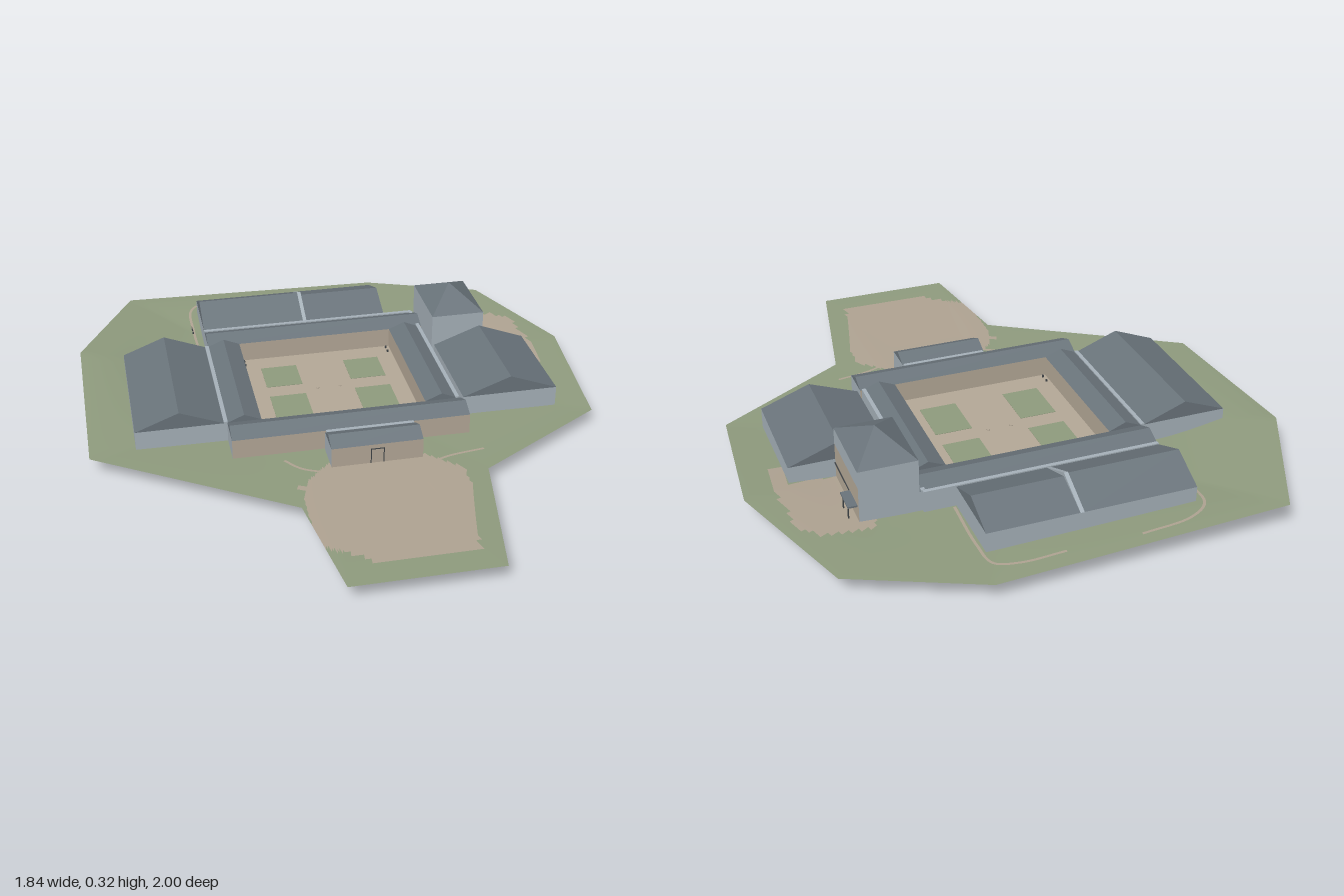
import * as THREE from 'three';

const mat = (name, color) => {
  const m = new THREE.MeshStandardMaterial({ color });
  m.name = name;
  return m;
};

// Ground outline as x, y, z corners, clockwise seen from above
const OUTLINE = [
  [-0.7, 0.09, -0.98], [0.31, 0.062, -1], [0.74, 0.07, -0.82], [0.92, 0.08, -0.34],
  [0.88, 0.054, 0.18], [0.4, 0.055, 0.47], [0.3, 0.062, 1], [-0.2, 0.062, 1],
  [-0.26, 0.058, 0.57], [-0.92, 0.063, 0.15], [-0.92, 0.11, -0.53],
];
const CX = -0.02, CZ = -0.16, BASE = 0.058;

// Height of the ground: level near the buildings, bending to the outline heights
function groundY(x, z) {
  const dx = x - CX, dz = z - CZ;
  for (let i = 0; i < OUTLINE.length; i++) {
    const a = OUTLINE[i], b = OUTLINE[(i + 1) % OUTLINE.length];
    const ex = b[0] - a[0], ez = b[2] - a[2], ax = a[0] - CX, az = a[2] - CZ;
    const det = dx * ez - dz * ex;
    const s = (ax * ez - az * ex) / det, u = (ax * dz - az * dx) / det;
    if (s > 0 && u >= -1e-6 && u <= 1 + 1e-6) {
      const edge = a[1] + (b[1] - a[1]) * u;
      return BASE + (edge - BASE) * THREE.MathUtils.smoothstep(1 / s, 0.55, 1);
    }
  }
  return BASE;
}

// Bare earth: the forecourt and the yard beside the tower
function isEarth(x, z) {
  const front = z > 0.3 && z < 0.9 && x > -0.245 && x > -0.22 + (z - 0.8) * 1.4 &&
    x < 0.32 - Math.max(0, z - 0.55) * 0.22 && x - z < -0.13 && x + z > 0.21;
  const side = x > 0.55 && x < 0.8 && z > -0.6 && z < -0.28 && x - z < 1.33;
  const link = x > 0.76 && x < 0.81 && z > -0.4 && z < -0.18;
  return front || side || link;
}

export function createModel() {
  const model = new THREE.Group();
  model.name = 'courtyardCompound';
  const roof = mat('slateRoof', 0x69737a);
  const wall = mat('paleWall', 0xa5b0b8);
  const tan = mat('sandStone', 0xb3a796);
  const grass = mat('grass', 0x8e9a7d);
  const dark = mat('darkTrim', 0x3d4246);
  const earth = mat('bareEarth', 0xaea291);
  grass.side = earth.side = THREE.DoubleSide;

  const add = (name, geo, material, parent = model) => {
    const m = new THREE.Mesh(geo, material);
    m.name = name;
    parent.add(m);
    return m;
  };
  const box = (name, x0, x1, y0, y1, z0, z1, material, parent) => {
    const g = new THREE.BoxGeometry(x1 - x0, y1 - y0, z1 - z0);
    g.translate((x0 + x1) / 2, (y0 + y1) / 2, (z0 + z1) / 2);
    return add(name, g, material, parent);
  };
  // Triangular prism with its ridge along x or z
  const prism = (x0, x1, z0, z1, eave, ridge, axis) => {
    const alongX = axis === 'x';
    const half = (alongX ? z1 - z0 : x1 - x0) / 2, len = alongX ? x1 - x0 : z1 - z0;
    const s = new THREE.Shape([new THREE.Vector2(-half, 0), new THREE.Vector2(half, 0),
      new THREE.Vector2(0, ridge - eave)]);
    const g = new THREE.ExtrudeGeometry(s, { depth: len, bevelEnabled: false });
    g.translate(0, 0, -len / 2);
    if (alongX) g.rotateY(Math.PI / 2);
    return g.translate((x0 + x1) / 2, eave, (z0 + z1) / 2);
  };
  // Gabled building; tanSides lists stone faces in the order +x -x +y -y +z -z
  const building = (name, x0, x1, z0, z1, ridge, axis, tanSides = []) => {
    const g = new THREE.Group();
    g.name = name;
    model.add(g);
    const mats = [0, 1, 2, 3, 4, 5].map(i => (tanSides.includes(i) ? tan : wall));
    box(name + 'Walls', x0, x1, 0.05, 0.13, z0, z1, mats, g);
    add(name + 'Roof', prism(x0, x1, z0, z1, 0.13, ridge, axis), roof, g);
  };

  // Ground in rings around the courtyard block
  const pos = [], green = [], bare = [], RINGS = 34, PER = 22;
  const n = OUTLINE.length * PER;
  for (let i = 0; i < n; i++) {
    const a = OUTLINE[Math.floor(i / PER)], b = OUTLINE[(Math.floor(i / PER) + 1) % OUTLINE.length];
    const f = (i % PER) / PER;
    const dx = a[0] + (b[0] - a[0]) * f - CX, dz = a[2] + (b[2] - a[2]) * f - CZ;
    const k = 1 / Math.max(Math.abs(dx) / 0.36, Math.abs(dz) / 0.34);
    for (let j = 0; j <= RINGS; j++) {
      const t = k + (1 - k) * j / RINGS, x = CX + dx * t, z = CZ + dz * t;
      pos.push(x, groundY(x, z), z);
    }
  }
  for (let i = 0; i < n; i++) for (let j = 0; j < RINGS; j++) {
    const p = i * (RINGS + 1) + j, q = ((i + 1) % n) * (RINGS + 1) + j;
    const x = (pos[p * 3] + pos[q * 3 + 3]) / 2, z = (pos[p * 3 + 2] + pos[q * 3 + 5]) / 2;
    (isEarth(x, z) ? bare : green).push(p, q, p + 1, q, q + 1, p + 1);
  }
  const ground = new THREE.BufferGeometry();
  ground.setAttribute('position', new THREE.Float32BufferAttribute(pos, 3));
  ground.setIndex([...green, ...bare]);
  ground.addGroup(0, green.length, 0);
  ground.addGroup(green.length, bare.length, 1);
  ground.computeVertexNormals();
  add('ground', ground, [grass, earth]);

  // Narrow footpaths lying on the ground
  const path = (pts, w = 0.005) => {
    const c = new THREE.CatmullRomCurve3(pts.map(([x, z]) => new THREE.Vector3(x, 0, z)));
    const v = [], idx = [];
    for (let i = 0; i <= 30; i++) {
      const p = c.getPoint(i / 30), t = c.getTangent(i / 30);
      for (const s of [-w, w]) {
        const x = p.x - t.z * s, z = p.z + t.x * s;
        v.push(x, groundY(x, z) + 0.002, z);
      }
      if (i) idx.push(2 * i - 2, 2 * i - 1, 2 * i, 2 * i - 1, 2 * i + 1, 2 * i);
    }
    // Wind the strip so that it faces up
    const g = new THREE.BufferGeometry();
    g.setAttribute('position', new THREE.Float32BufferAttribute(v, 3));
    g.setIndex(idx.reverse());
    g.computeVertexNormals();
    add('footpath', g, earth);
  };
  path([[-0.46, -0.46], [-0.47, -0.7], [-0.46, -0.86], [-0.38, -0.92], [-0.2, -0.94]]);
  path([[0.05, -0.93], [0.2, -0.93], [0.28, -0.9], [0.295, -0.8], [0.29, -0.58]]);
  path([[-0.27, 0.29], [-0.22, 0.35], [-0.14, 0.39]]);
  path([[0.22, 0.4], [0.3, 0.37], [0.42, 0.35]]);

  // Halls and the four wings around the court
  building('leftHall', -0.76, -0.45, -0.44, 0.12, 0.19, 'z');
  building('rightHall', 0.41, 0.76, -0.28, 0.12, 0.195, 'z');
  building('backHallTall', -0.44, -0.045, -0.84, -0.57, 0.192, 'x');
  building('backHallLow', -0.035, 0.28, -0.84, -0.57, 0.182, 'x');
  building('backWing', -0.44, 0.4, -0.56, -0.44, 0.155, 'x', [4]);
  building('frontWing', -0.44, 0.4, 0.12, 0.24, 0.155, 'x', [4, 5]);
  building('leftWing', -0.44, -0.32, -0.44, 0.12, 0.155, 'z', [0]);
  building('rightWing', 0.27, 0.39, -0.44, 0.12, 0.155, 'z', [1]);
  building('porch', -0.12, 0.2, 0.25, 0.36, 0.155, 'x', [4]);

  // Basements under the back hall and back wing
  box('backHallBasement', -0.44, 0.28, 0, 0.05, -0.84, -0.57, wall);
  box('backWingBasement', -0.44, 0.4, 0, 0.05, -0.56, -0.44, wall);

  // Pale gutters and party wall between the roofs
  box('backGutter', -0.44, 0.39, 0.05, 0.135, -0.572, -0.558, wall);
  box('leftGutter', -0.452, -0.438, 0.05, 0.135, -0.44, 0.12, wall);
  box('rightGutter', 0.38, 0.394, 0.05, 0.136, -0.56, 0.12, wall);
  box('porchGutter', -0.115, 0.195, 0.05, 0.132, 0.238, 0.252, wall);
  box('partyWallBase', -0.047, -0.033, 0.05, 0.13, -0.84, -0.57, wall);
  add('partyWallGable', prism(-0.047, -0.033, -0.841, -0.569, 0.13, 0.195, 'x'), wall);

  // Tower with a stone lower side and a pyramid roof
  const tower = new THREE.Group();
  tower.name = 'tower';
  model.add(tower);
  box('towerBase', 0.4, 0.6, 0.05, 0.19, -0.56, -0.28, [tan, wall, wall, wall, wall, wall], tower);
  box('towerTop', 0.4, 0.6, 0.19, 0.25, -0.56, -0.28, wall, tower);
  const cap = new THREE.ConeGeometry(Math.SQRT1_2, 0.07, 4, 1, false, Math.PI / 4).toNonIndexed();
  cap.scale(0.2, 1, 0.28).translate(0.5, 0.285, -0.42);
  cap.computeVertexNormals();
  add('towerRoof', cap, roof, tower);
  box('towerCanopy', 0.6, 0.632, 0.112, 0.118, -0.545, -0.455, roof, tower);
  for (const z of [-0.53, -0.47]) box('canopyPost', 0.625, 0.629, 0.058, 0.112, z - 0.002, z + 0.002, dark, tower);
  box('towerLedge', 0.6, 0.603, 0.114, 0.118, -0.455, -0.28, dark, tower);

  // Porch door frame
  box('doorTop', 0.016, 0.064, 0.112, 0.115, 0.36, 0.362, dark);
  for (const x of [0.016, 0.061]) box('doorJamb', x, x + 0.003, 0.058, 0.112, 0.36, 0.362, dark);

  // Courtyard paving, lawns, corner posts and the two passages beneath
  box('courtyard', -0.32, 0.27, 0.048, 0.056, -0.44, 0.12, tan);
  for (const x of [-0.25, 0.07])
    for (const [z0, z1] of [[-0.36, -0.215], [-0.145, 0.035]])
      box('lawn', x, x + 0.135, 0.047, 0.0575, z0, z1, grass);
  for (const x of [-0.305, 0.255]) for (const z of [-0.425, -0.395, 0.07, 0.105])
    box('courtPost', x - 0.003, x + 0.003, 0.056, 0.064, z - 0.003, z + 0.003, dark);
  for (const x of [-0.065, 0.02]) {
    box('passage', x - 0.02, x + 0.02, 0.024, 0.05, -0.31, 0, tan);
    const well = new THREE.CylinderGeometry(0.006, 0.006, 0.004, 10);
    add('drain', well.translate(x, 0.057, -0.175), tan);
  }
  // Outside steps by the back hall
  for (let i = 0; i < 6; i++) {
    const z = -0.82 + i * 0.025;
    box('backStep', -0.476, -0.471, 0.055, 0.068, z, z + 0.014, dark);
  }
  return model;
}
